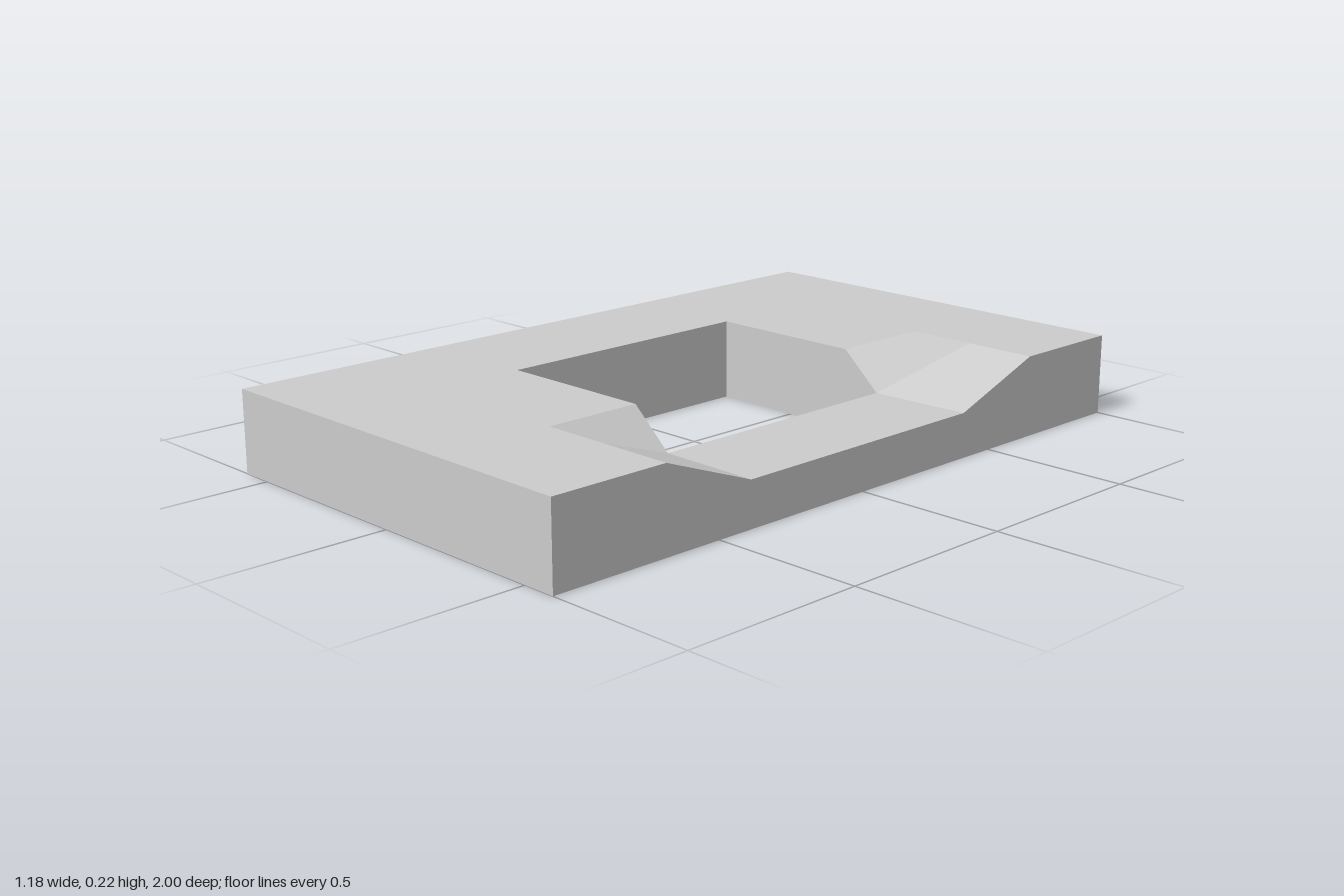
import * as THREE from 'three';

const H = 0.222, L = 0.122;           // slab top and lowered strip
const X = 0.592, Z = 1;               // outer half sizes
const hx0 = -0.252, hx1 = 0.31;       // opening, x
const hz0 = -0.377, hz1 = 0.393;      // opening, z
const rx0 = 0.197, rx1 = 0.39;        // ramp corner, x
const rz = 0.667;                     // top of the ramps
const ez0 = -0.39, ez1 = 0.397;       // foot of the ramps on the outer edge

// Convex faces (counter-clockwise from outside), one averaged normal per face
function facesMesh(name, faces, material) {
  const position = [], normal = [];
  for (const face of faces) {
    const p = face.map((c) => new THREE.Vector3(...c));
    const n = new THREE.Vector3();
    p.forEach((a, i) => n.add(a.clone().cross(p[(i + 1) % p.length])));
    n.normalize();
    for (let i = 1; i < p.length - 1; i++) {
      for (const v of [p[0], p[i], p[i + 1]]) {
        position.push(v.x, v.y, v.z);
        normal.push(n.x, n.y, n.z);
      }
    }
  }
  const g = new THREE.BufferGeometry();
  g.setAttribute('position', new THREE.Float32BufferAttribute(position, 3));
  g.setAttribute('normal', new THREE.Float32BufferAttribute(normal, 3));
  const mesh = new THREE.Mesh(g, material);
  mesh.name = name;
  return mesh;
}

// Horizontal rectangle facing up
const rect = (x0, x1, z0, z1, y) => [[x0, y, z0], [x0, y, z1], [x1, y, z1], [x1, y, z0]];
const flip = (face) => face.slice().reverse();

export function createModel() {
  const group = new THREE.Group();
  group.name = 'slabWithOpening';
  const material = new THREE.MeshStandardMaterial({ color: 0xcccccc });
  const add = (name, faces) => group.add(facesMesh(name, faces, material));

  // Upper level around the opening
  add('topSurface', [
    rect(-X, hx0, -Z, Z, H),
    rect(hx0, rx0, -Z, hz0, H),
    rect(hx0, rx0, hz1, Z, H),
    rect(rx0, X, -Z, -rz, H),
    rect(rx0, X, rz, Z, H),
  ]);

  // Lowered strip beside the opening
  add('loweredStrip', [[[hx1, L, hz0], [hx1, L, hz1], [X, L, ez1], [X, L, ez0]]]);

  // Ramps at both ends of the strip, each with a folded inner corner
  for (const [name, z, e, s] of [['backRamp', hz0, ez0, -1], ['frontRamp', hz1, ez1, 1]]) {
    const ramp = [[hx1, L, z], [X, L, e], [X, H, s * rz], [rx1, H, s * rz]];
    const corner = [[rx0, H, z], [hx1, L, z], [rx1, H, s * rz], [rx0, H, s * rz]];
    if (s < 0) add(name, [ramp, corner]);
    else add(name, [flip(ramp), [corner[0], corner[3], corner[2], corner[1]]]);
  }

  // Outer walls; the left one follows the ramps and the strip
  const profile = [[-Z, H], [-rz, H], [ez0, L], [ez1, L], [rz, H], [Z, H]];
  const leftWall = [];
  for (let i = 0; i < profile.length - 1; i++) {
    const [z0, y0] = profile[i], [z1, y1] = profile[i + 1];
    leftWall.push([[X, 0, z1], [X, 0, z0], [X, y0, z0], [X, y1, z1]]);
  }
  add('leftWall', leftWall);
  add('outerWalls', [
    [[-X, 0, -Z], [-X, 0, Z], [-X, H, Z], [-X, H, -Z]],
    [[-X, 0, Z], [X, 0, Z], [X, H, Z], [-X, H, Z]],
    [[X, 0, -Z], [-X, 0, -Z], [-X, H, -Z], [X, H, -Z]],
  ]);

  // Walls of the opening
  const endWall = (z) => [[hx0, 0, z], [hx1, 0, z], [hx1, L, z], [rx0, H, z], [hx0, H, z]];
  const sideWall = (x, y) => [[x, 0, hz1], [x, 0, hz0], [x, y, hz0], [x, y, hz1]];
  add('openingWalls', [
    endWall(hz0), flip(endWall(hz1)),
    sideWall(hx0, H), flip(sideWall(hx1, L)),
  ]);

  // Underside frame
  add('underside', [
    rect(-X, hx0, -Z, Z, 0), rect(hx1, X, -Z, Z, 0),
    rect(hx0, hx1, -Z, hz0, 0), rect(hx0, hx1, hz1, Z, 0),
  ].map(flip));

  return group;
}
